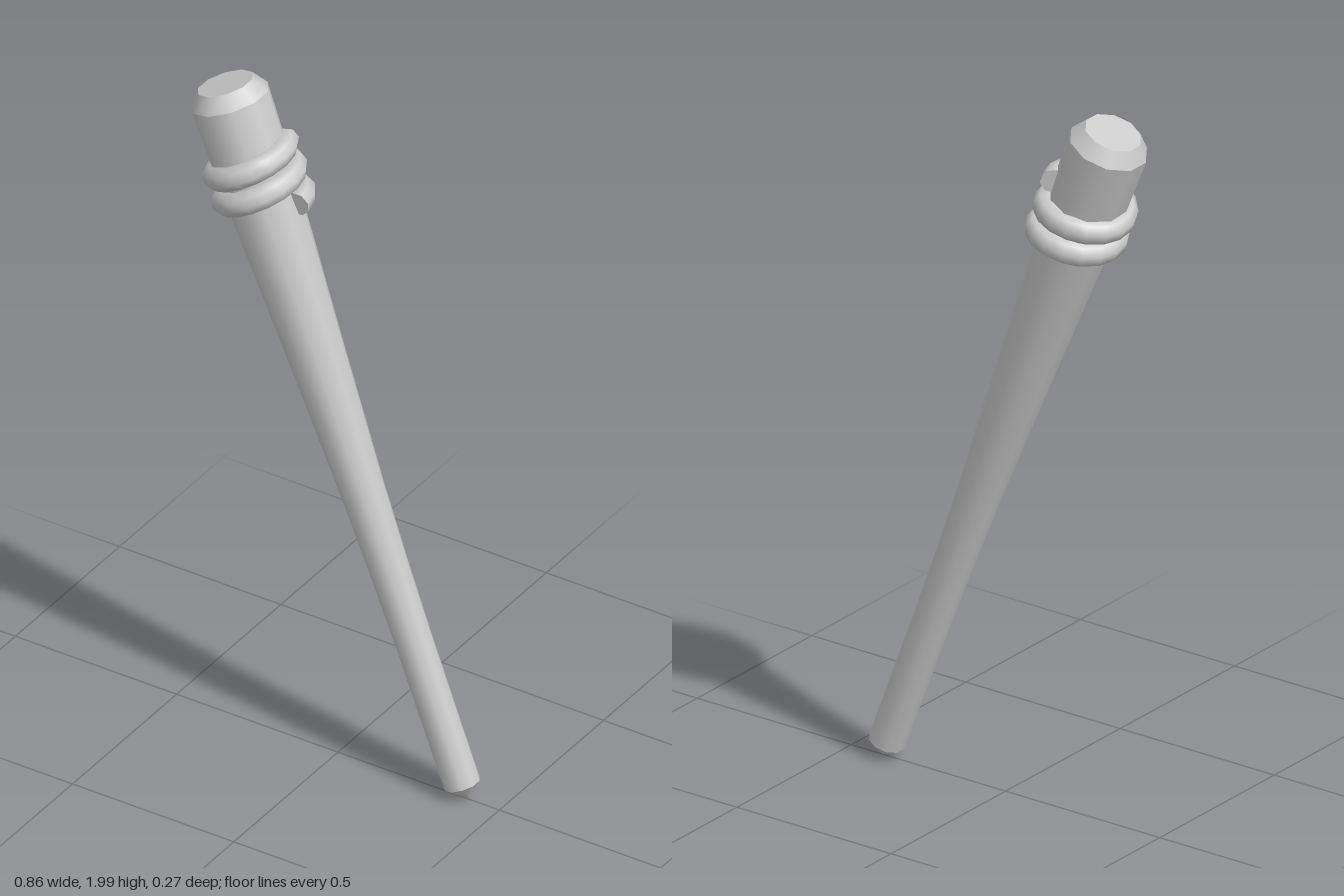
import * as THREE from 'three';

const SIDES = 10;

// Cord coiled around the shaft, rising from the right side towards the back
class Coil extends THREE.Curve {
  getPoint(t, target = new THREE.Vector3()) {
    const turns = 2.1 * t;
    const a = -turns * Math.PI * 2;
    const r = 0.103;
    return target.set(r * Math.cos(a), 1.705 + 0.075 * turns, r * Math.sin(a));
  }
}

export function createModel() {
  const model = new THREE.Group();
  model.name = 'leaningStake';
  const material = new THREE.MeshStandardMaterial({ color: 0xcccccc });

  // Everything is built upright, then leaned over
  const stake = new THREE.Group();
  stake.name = 'stake';
  stake.position.set(0.385, 0.047, 0);
  stake.rotation.z = 0.364;
  model.add(stake);

  const add = (name, geometry, y = 0) => {
    const mesh = new THREE.Mesh(geometry, material);
    mesh.name = name;
    mesh.position.y = y;
    stake.add(mesh);
    return mesh;
  };

  // Tapered shaft: radius, height
  const profile = [
    [0.05, 0], [0.051, 0.4], [0.054, 0.62], [0.06, 0.85], [0.069, 1.06],
    [0.078, 1.27], [0.088, 1.48], [0.099, 1.7], [0.105, 1.85], [0.108, 2.02],
  ].map(([r, y]) => new THREE.Vector2(r, y));
  add('shaft', new THREE.LatheGeometry(profile, SIDES));

  // Bevelled head with flat top
  add('headBevel', new THREE.CylinderGeometry(0.078, 0.108, 0.042, SIDES), 2.041);

  // Short pointed tip
  add('tip', new THREE.ConeGeometry(0.05, 0.044, SIDES, 1, true).rotateX(Math.PI), -0.022);

  // Cord and its flat ends
  const coil = new Coil();
  const cordRadius = 0.035;
  add('cord', new THREE.TubeGeometry(coil, 34, cordRadius, 8));
  for (const [name, t, sign] of [['cordLowerEnd', 0, -1], ['cordUpperEnd', 1, 1]]) {
    const end = add(name, new THREE.CircleGeometry(cordRadius, 8));
    end.position.copy(coil.getPointAt(t));
    end.quaternion.setFromUnitVectors(
      new THREE.Vector3(0, 0, 1),
      coil.getTangentAt(t).multiplyScalar(sign),
    );
  }
  return model;
}
